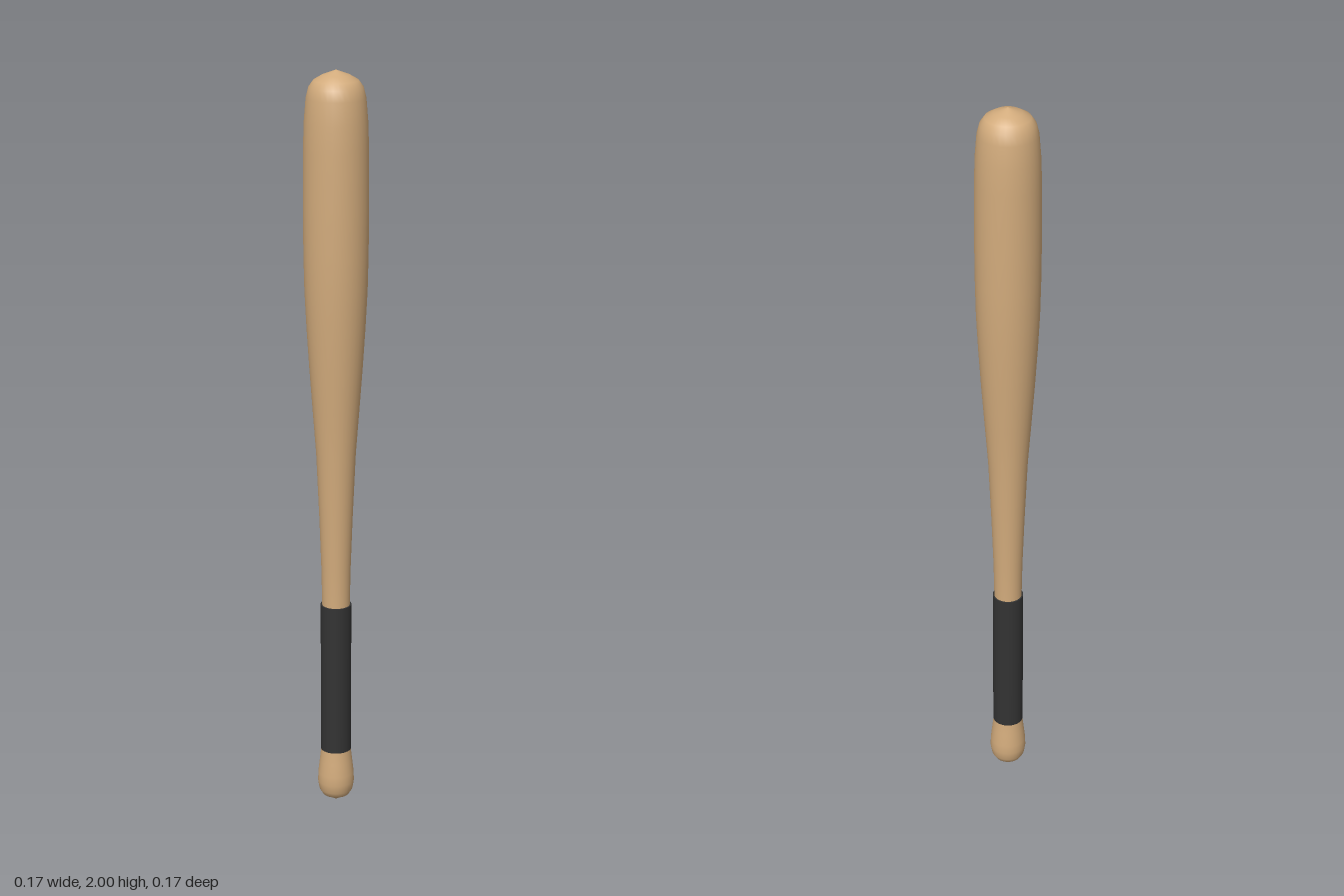
import * as THREE from 'three';

const SIDES = 32;
const wood = new THREE.MeshStandardMaterial({ color: 0xd2ab7c });
const wrap = new THREE.MeshStandardMaterial({ color: 0x333333 });

// Turned part from [radius, height] pairs, listed bottom to top
function turned(name, profile, material) {
  const points = profile.map(([r, y]) => new THREE.Vector2(r, y));
  const mesh = new THREE.Mesh(new THREE.LatheGeometry(points, SIDES), material);
  mesh.name = name;
  return mesh;
}

export function createModel() {
  const bat = new THREE.Group();
  bat.name = 'bat';

  // Rounded knob, thin handle, swelling barrel and domed tip
  bat.add(turned('woodenBody', [
    [0, 0], [0.02, 0.012], [0.036, 0.021], [0.045, 0.036], [0.049, 0.06],
    [0.048, 0.085], [0.044, 0.12], [0.04, 0.155], [0.037, 0.2],
    [0.037, 0.58], [0.039, 0.68], [0.044, 0.82], [0.052, 1.0],
    [0.061, 1.12], [0.069, 1.23], [0.076, 1.34], [0.081, 1.44],
    [0.083, 1.53], [0.084, 1.65], [0.083, 1.8], [0.081, 1.87],
    [0.076, 1.93], [0.069, 1.957], [0.057, 1.974], [0.035, 1.987], [0, 2],
  ], wood));

  // Dark sleeve around the handle
  const grip = new THREE.Mesh(new THREE.CylinderGeometry(0.041, 0.041, 0.42, SIDES), wrap);
  grip.name = 'grip';
  grip.position.y = 0.365;
  bat.add(grip);

  return bat;
}
